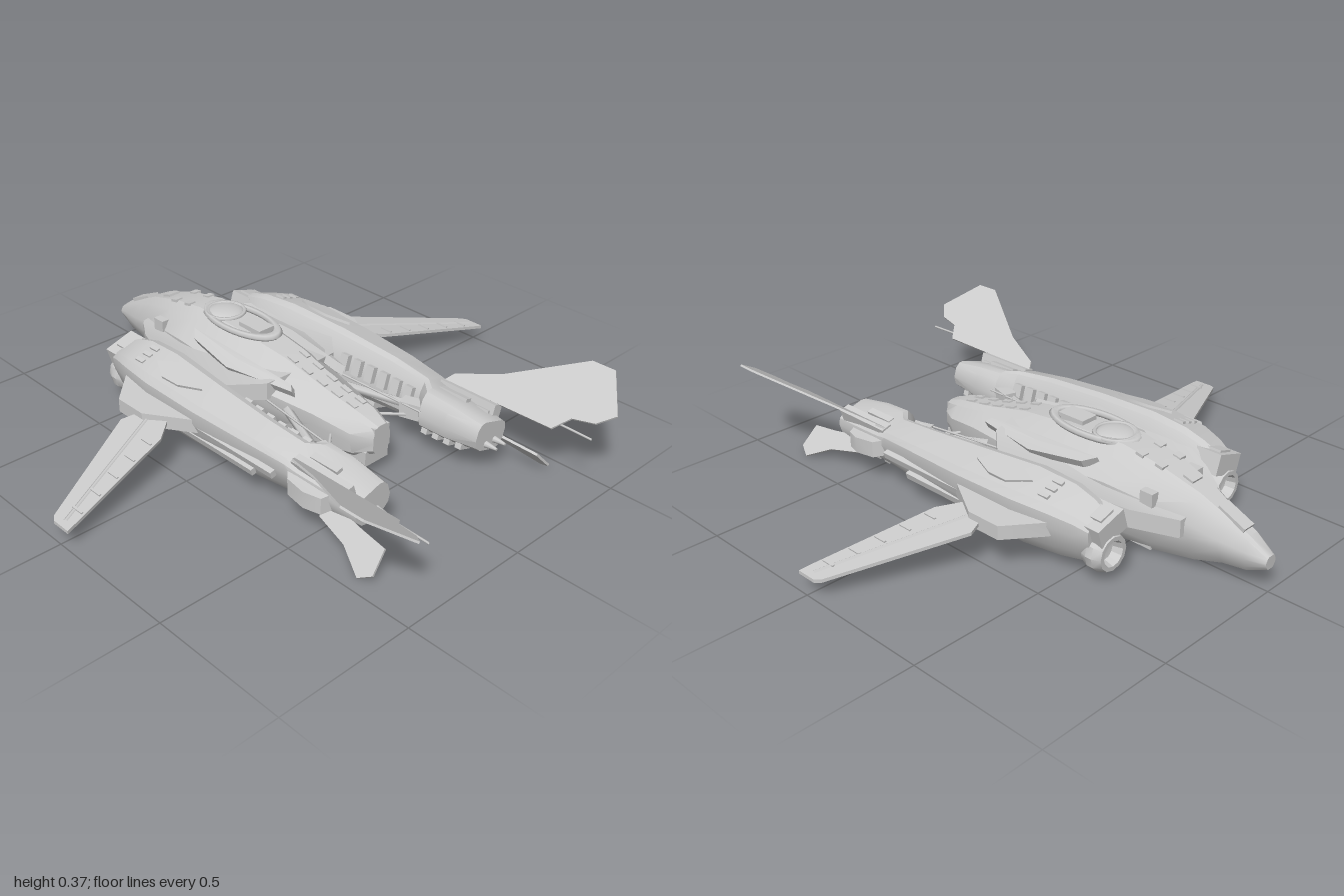
import * as THREE from 'three';
import { toCreasedNormals } from 'three/addons/utils/BufferGeometryUtils.js';

const V = (x, y, z) => new THREE.Vector3(x, y, z);

export function createModel() {
  const model = new THREE.Group();
  model.name = 'spacecraft';
  const grey = new THREE.MeshStandardMaterial({ color: 0xcccccc, side: THREE.DoubleSide });

  const add = (name, geometry) => {
    const mesh = new THREE.Mesh(geometry, grey);
    mesh.name = name;
    model.add(mesh);
  };

  // Mirrored copy across x, with the corner order corrected
  const mirrored = (geometry) => {
    const g = geometry.index ? geometry.toNonIndexed() : geometry.clone();
    g.scale(-1, 1, 1);
    for (const a of Object.values(g.attributes)) {
      const n = a.itemSize;
      for (let i = 0; i < a.count; i += 3) {
        for (let k = 0; k < n; k++) {
          const p = (i + 1) * n + k, q = (i + 2) * n + k;
          [a.array[p], a.array[q]] = [a.array[q], a.array[p]];
        }
      }
    }
    return g;
  };
  const addBoth = (name, geometry) => {
    add(name + 'Left', geometry);
    add(name + 'Right', mirrored(geometry));
  };

  // Closed, capped skin through rings of equal point count
  const loft = (rings, crease = 0.5) => {
    const tris = [];
    const n = rings[0].length;
    for (let r = 0; r < rings.length - 1; r++) {
      for (let i = 0; i < n; i++) {
        const j = (i + 1) % n;
        const [a, b, c, d] = [rings[r][i], rings[r][j], rings[r + 1][j], rings[r + 1][i]];
        tris.push([a, b, c], [a, c, d]);
      }
    }
    const cap = (ring, flip) => {
      const m = V(0, 0, 0);
      ring.forEach((p) => m.addScaledVector(p, 1 / n));
      ring.forEach((p, i) => {
        const q = ring[(i + 1) % n];
        tris.push(flip ? [m, q, p] : [m, p, q]);
      });
    };
    cap(rings[0], true);
    cap(rings[rings.length - 1], false);
    // Signed volume decides which way is out
    const o = rings[0][0];
    const volume = tris.reduce((s, [a, b, c]) =>
      s + a.clone().sub(o).dot(b.clone().sub(o).cross(c.clone().sub(o))), 0);
    if (volume < 0) tris.forEach((t) => t.reverse());
    const g = new THREE.BufferGeometry().setFromPoints(tris.flat());
    return toCreasedNormals(g, crease);
  };

  // Thin slab: outline points thickened along t
  const plate = (points, t) => loft([points.map((p) => p.clone().sub(t)), points.map((p) => p.clone().add(t))]);
  const box = (x, y, z, w, h, d, rz = 0, ry = 0, rx = 0) =>
    new THREE.BoxGeometry(w, h, d).rotateX(rx).rotateY(ry).rotateZ(rz).translate(x, y, z);
  const rod = (a, b, r) =>
    new THREE.TubeGeometry(new THREE.LineCurve3(V(...a), V(...b)), 1, r, 6);
  const sample = (table, z, k) => {
    let i = 0;
    while (i < table.length - 2 && table[i + 1][0] < z) i++;
    const [a, b] = [table[i], table[i + 1]];
    return THREE.MathUtils.lerp(a[k], b[k], (z - a[0]) / (b[0] - a[0]));
  };

  // Central hull: z, top half width, top y, chine half width, chine y, belly half width, belly y
  const hull = [
    [-1.0, 0.018, 0.13, 0.025, 0.108, 0.018, 0.085], [-0.93, 0.03, 0.18, 0.045, 0.12, 0.035, 0.06],
    [-0.85, 0.04, 0.215, 0.065, 0.13, 0.05, 0.055], [-0.75, 0.06, 0.265, 0.09, 0.15, 0.07, 0.03],
    [-0.6, 0.08, 0.31, 0.12, 0.18, 0.1, 0.012], [-0.45, 0.09, 0.335, 0.15, 0.2, 0.12, 0.01],
    [-0.2, 0.09, 0.325, 0.16, 0.19, 0.13, 0.015], [0, 0.075, 0.3, 0.15, 0.18, 0.12, 0.03],
    [0.2, 0.055, 0.25, 0.11, 0.17, 0.1, 0.05], [0.35, 0.05, 0.225, 0.08, 0.15, 0.07, 0.065],
    [0.42, 0.03, 0.2, 0.04, 0.15, 0.04, 0.1],
  ];
  add('hull', loft(hull.map(([z, tw, ty, cw, cy, bw, by]) => {
    const h = ty - by;
    const half = [[tw * 0.6, ty], [tw, ty - 0.1 * h], [cw, cy + 0.1 * h], [cw, cy - 0.1 * h],
      [bw, by + 0.14 * h], [bw * 0.7, by]];
    return [...half, ...half.map(([x, y]) => [-x, y]).reverse()].map(([x, y]) => V(x, y, z));
  })));
  const hullTop = (z) => sample(hull, z, 2);

  // Cockpit ring, glass dome and nose window
  const oval = new THREE.TorusGeometry(0.085, 0.012, 6, 28).rotateX(Math.PI / 2).scale(0.95, 1, 2);
  add('cockpitFrame', oval.translate(0, 0.327, -0.28));
  add('cockpitDome', new THREE.SphereGeometry(0.068, 20, 8, 0, Math.PI * 2, 0, Math.PI / 2)
    .scale(1, 0.28, 1).translate(0, 0.327, -0.37));
  add('cockpitRing', new THREE.TorusGeometry(0.07, 0.008, 6, 24).rotateX(Math.PI / 2).translate(0, 0.331, -0.37));
  add('seatBlock', box(0, 0.33, -0.2, 0.07, 0.025, 0.11));
  add('noseWindow', box(0, 0.21, -0.86, 0.05, 0.02, 0.11, 0, 0, -0.42));
  add('noseHatch', box(0, 0.285, -0.69, 0.05, 0.012, 0.04, 0, 0, -0.3));

  // Spine plates and small hatches along the hull
  for (let i = 0; i < 5; i++) {
    const z = 0.02 + i * 0.07;
    addBoth('spinePlate', box(0.028 - i * 0.002, hullTop(z), z, 0.018, 0.012, 0.04, 0, 0, 0.24));
  }
  for (const z of [-0.6, -0.52]) addBoth('hullHatch', box(0.045, hullTop(z), z, 0.03, 0.01, 0.03, 0, 0, -0.2));
  addBoth('hullStrake', plate([V(0.115, 0.28, -0.4), V(0.15, 0.265, -0.36), V(0.18, 0.245, -0.15),
    V(0.12, 0.235, 0.12), V(0.105, 0.25, 0.1), V(0.12, 0.275, -0.15)], V(0.008, 0.014, 0)));

  // Belly and tail blocks
  add('bellyBlock', box(0, 0.055, -0.2, 0.16, 0.085, 0.8));
  add('bellyDuct', box(0, 0.075, 0.28, 0.11, 0.055, 0.24));
  add('tailBlock', box(0, 0.17, 0.39, 0.07, 0.05, 0.06));
  addBoth('bellyRail', box(0.125, 0.075, -0.15, 0.02, 0.03, 0.6));

  // Shoulders joining the hull to the pods
  const shoulder = [[0.06, -0.74], [0.11, -0.735], [0.2, -0.6], [0.26, -0.45], [0.26, -0.08], [0.16, 0.03], [0.06, 0.05]];
  addBoth('shoulder', plate(shoulder.map(([x, z]) =>
    V(x, 0.245 - 0.13 * x + Math.min(0, (z + 0.45) * 0.25), z)), V(0, 0.032, 0)));
  addBoth('shoulderFairing', box(0.19, 0.14, -0.3, 0.12, 0.11, 0.45));
  addBoth('shoulderVent', box(0.115, 0.225, -0.61, 0.03, 0.05, 0.05));

  // Side pods: z, centre x, centre y, half width, half height; tilted with the inner edge high
  const tilt = -0.3;
  const pod = [
    [-0.58, 0.295, 0.145, 0.062, 0.075], [-0.53, 0.295, 0.15, 0.078, 0.095], [-0.45, 0.3, 0.155, 0.095, 0.11],
    [-0.3, 0.31, 0.155, 0.105, 0.118], [-0.05, 0.32, 0.15, 0.092, 0.11], [0.2, 0.32, 0.147, 0.075, 0.095],
    [0.36, 0.312, 0.145, 0.068, 0.08], [0.41, 0.288, 0.145, 0.092, 0.075], [0.52, 0.286, 0.143, 0.09, 0.07],
    [0.65, 0.285, 0.14, 0.076, 0.052],
  ];
  const podPoint = (z, u, v) => V(u * sample(pod, z, 3), v * sample(pod, z, 4), 0)
    .applyAxisAngle(V(0, 0, 1), tilt).add(V(sample(pod, z, 1), sample(pod, z, 2), z));
  const podSection = [[0.6, 1], [0.85, 0.85], [1, 0.45], [1, -0.3], [0.8, -0.8], [0.5, -1]];
  const podRing = [...podSection, ...podSection.map(([u, v]) => [-u, v]).reverse()];
  addBoth('pod', loft(pod.map(([z]) => podRing.map(([u, v]) => podPoint(z, u, v)))));
  const onPod = (name, z, u, v, w, h, d) => {
    const p = podPoint(z, u, v);
    addBoth(name, box(p.x, p.y, p.z, w, h, d, tilt));
  };

  // Pod surface panels
  for (const u of [-0.35, 0, 0.35]) onPod('podVent', -0.4, u, 1, 0.016, 0.014, 0.04);
  addBoth('podDiamond', plate([[-0.33, 0.05], [-0.25, 0.45], [-0.17, 0.4], [-0.08, 0], [-0.17, -0.35], [-0.25, -0.35]]
    .map(([z, u]) => podPoint(z, u, 1)), V(0.003, 0.009, 0)));
  onPod('podHatch', 0.47, 0, 1, 0.025, 0.016, 0.12);
  onPod('podHatch', 0.58, 0.4, 1, 0.03, 0.012, 0.05);
  onPod('podSideRail', 0.08, 0.98, 0.25, 0.02, 0.025, 0.5);
  onPod('podSideRail', 0.0, 0.98, -0.2, 0.018, 0.025, 0.45);
  for (let i = 0; i < 6; i++) onPod('podInnerRib', 0.02 + i * 0.06, -1, 0.1, 0.04, 0.06, 0.035);
  onPod('podKeel', -0.1, 0, -1, 0.07, 0.03, 0.5);
  for (let i = 0; i < 4; i++) onPod('podBellyRib', 0.43 + i * 0.05, 0, -1, 0.13, 0.02, 0.025);
  addBoth('podFlank', plate([V(0.37, 0.15, 0.36), V(0.41, 0.14, 0.4), V(0.42, 0.135, 0.48),
    V(0.4, 0.13, 0.54), V(0.35, 0.14, 0.56)], V(0, 0.03, 0)));

  // Engine nozzle and its top housing
  const nozzle = [[0.06, 0], [0.072, 0.03], [0.072, 0.055], [0.06, 0.085], [0.045, 0.085], [0.035, 0.05], [0.001, 0.045]];
  addBoth('engineNozzle', toCreasedNormals(new THREE.LatheGeometry(nozzle.map(([r, y]) => new THREE.Vector2(r, y)), 12)
    .rotateX(-Math.PI / 2).translate(0.295, 0.105, -0.54), 0.5));
  addBoth('engineHousing', box(0.295, 0.19, -0.57, 0.12, 0.075, 0.1, tilt));
  addBoth('engineHousingCap', box(0.3, 0.228, -0.565, 0.06, 0.015, 0.07, tilt));

  // Wing root and swept, drooping wing
  addBoth('wingRoot', plate([V(0.36, 0.17, -0.47), V(0.4, 0.165, -0.45), V(0.515, 0.155, -0.34),
    V(0.515, 0.155, -0.21), V(0.42, 0.16, -0.05), V(0.36, 0.165, 0.05)], V(0, 0.025, 0)));
  const wingY = (x) => 0.153 - (x - 0.5) * 0.178;
  const wing = [[0.47, -0.24], [0.56, -0.27], [0.98, -0.055], [0.995, -0.035], [0.995, 0.04], [0.95, 0.03], [0.54, -0.075], [0.47, -0.13]];
  addBoth('wing', plate(wing.map(([x, z]) => V(x, wingY(x), z)), V(0, 0.006, 0)));
  addBoth('wingSpar', rod([0.5, wingY(0.5), -0.2], [0.97, wingY(0.97), -0.005], 0.01));
  for (let i = 0; i < 5; i++) {
    const x = 0.58 + i * 0.085;
    addBoth('flapHinge', box(x, wingY(x) + 0.006, -0.1 + i * 0.022, 0.008, 0.01, 0.05, -0.18));
  }

  // Upper and lower canted fins
  const finY = (x) => 0.215 + (x - 0.365) * 0.68;
  const fin = [[0.36, 0.38], [0.39, 0.4], [0.45, 0.56], [0.595, 0.81], [0.595, 0.9], [0.475, 1.0], [0.43, 0.95], [0.415, 0.87], [0.365, 0.83]];
  addBoth('upperFin', plate(fin.map(([x, z]) => V(x, finY(x), z)), V(-0.002, 0.003, 0)));
  addBoth('finMount', box(0.352, 0.195, 0.5, 0.04, 0.045, 0.24, tilt));
  addBoth('finProbe', rod([0.392, 0.228, 0.8], [0.392, 0.225, 0.965], 0.004));
  const lowerFin = [[0.12, 0.52], [0.1, 0.68], [0.09, 0.785], [0.025, 0.795], [0.004, 0.75], [0.05, 0.65], [0.075, 0.52]];
  addBoth('lowerFin', plate(lowerFin.map(([y, z]) => V(0.455 - y * 0.95, y, z)), V(0.003, 0.003, 0)));

  // Twin guns at the pod tip
  for (const x of [0.265, 0.31]) {
    addBoth('gunBarrel', new THREE.CylinderGeometry(0.005, 0.013, 0.05, 8).rotateX(Math.PI / 2).translate(x, 0.115, 0.67));
  }

  // Struts and cables between hull and pods
  addBoth('strut', rod([0.13, 0.17, 0.1], [0.23, 0.15, 0.36], 0.016));
  addBoth('strutPiston', rod([0.1, 0.14, 0.28], [0.24, 0.13, 0.4], 0.006));
  addBoth('cable', rod([0.155, 0.19, 0.0], [0.19, 0.17, 0.42], 0.004));
  addBoth('strutBlock', box(0.215, 0.15, 0.37, 0.05, 0.06, 0.09, 0, 0.3));

  return model;
}
